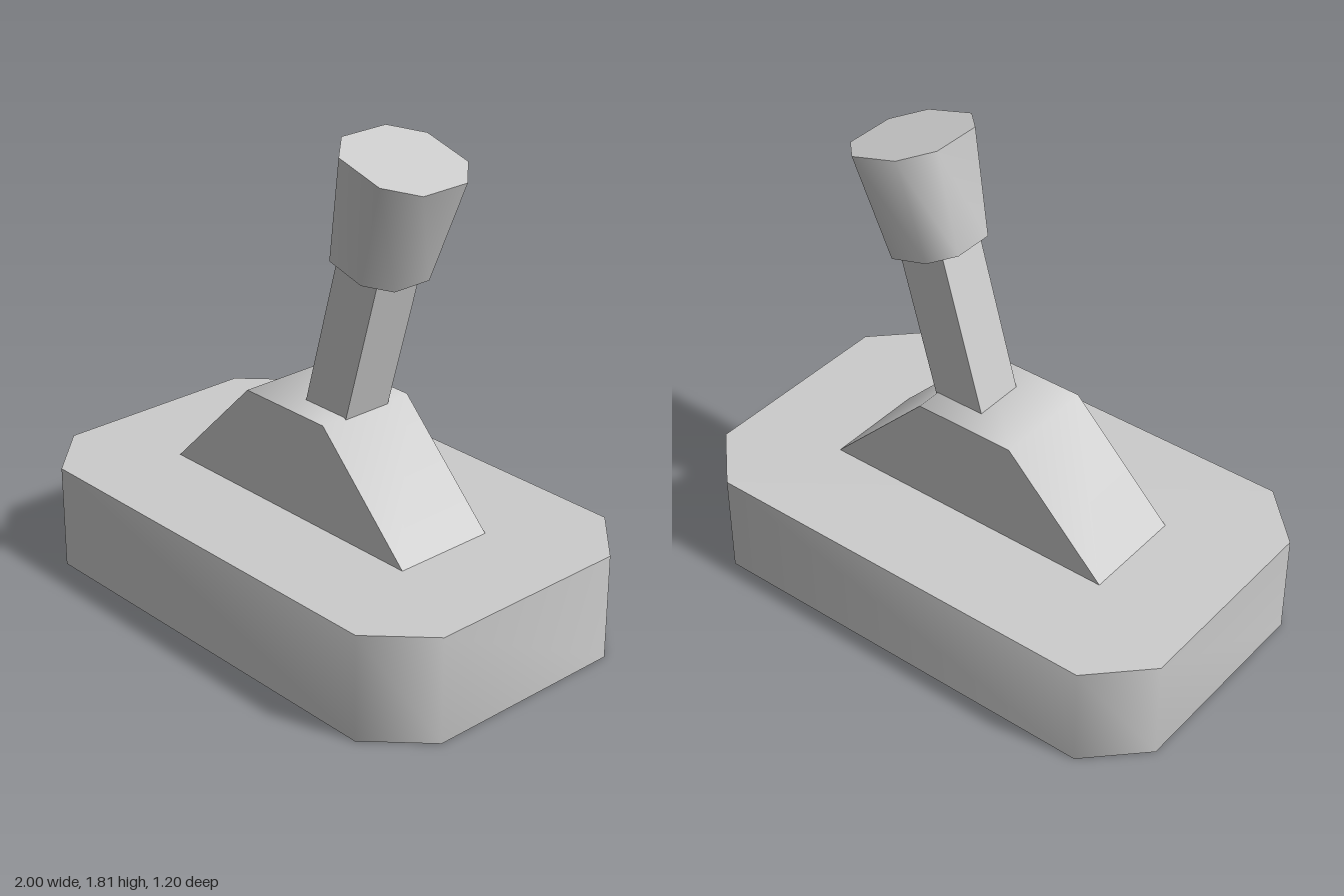
import * as THREE from 'three';
import { toCreasedNormals } from 'three/addons/utils/BufferGeometryUtils.js';

const CREASE = 1.0; // 45 degree corners stay smooth, sharper ones are creased

// Rectangle with cut corners
function cutRectangle(hx, hy, cut) {
  const corners = [
    [hx, -hy + cut], [hx, hy - cut], [hx - cut, hy], [-hx + cut, hy],
    [-hx, hy - cut], [-hx, -hy + cut], [-hx + cut, -hy], [hx - cut, -hy],
  ];
  return new THREE.Shape(corners.map(([x, y]) => new THREE.Vector2(x, y)));
}

function extrude(shape, depth) {
  return new THREE.ExtrudeGeometry(shape, { depth, bevelEnabled: false });
}

export function createModel() {
  const grey = new THREE.MeshStandardMaterial({ color: 0xcccccc });
  grey.name = 'light grey';
  const model = new THREE.Group();
  model.name = 'leverSwitch';

  function add(parent, name, geometry) {
    const mesh = new THREE.Mesh(toCreasedNormals(geometry, CREASE), grey);
    mesh.name = name;
    parent.add(mesh);
    return mesh;
  }

  // Base slab with cut corners
  add(model, 'base', extrude(cutRectangle(1, 0.6, 0.2), 0.4).rotateX(-Math.PI / 2));

  // Sloped housing
  const profile = new THREE.Shape([[-0.6, 0.4], [0.6, 0.4], [0.2, 0.8], [-0.2, 0.8]]
    .map(([x, y]) => new THREE.Vector2(x, y)));
  add(model, 'housing', extrude(profile, 0.4).translate(0, 0, -0.2));

  // Lever leaning to +x, pivoted at the housing top
  const lever = new THREE.Group();
  lever.name = 'lever';
  lever.position.set(0.105, 0.8, 0);
  lever.rotation.z = -THREE.MathUtils.degToRad(15.6);
  model.add(lever);

  // Square stick, sunk slightly into the housing
  add(lever, 'stick', new THREE.BoxGeometry(0.2, 0.68, 0.2).translate(0, 0.28, 0));

  // Eight-sided knob, narrowing towards the stick
  const knob = extrude(cutRectangle(0.2, 0.2, 0.1), 0.4).rotateX(-Math.PI / 2);
  const p = knob.attributes.position;
  for (let i = 0; i < p.count; i++) {
    const s = 0.8 + 0.2 * (p.getY(i) / 0.4);
    p.setXYZ(i, p.getX(i) * s, p.getY(i), p.getZ(i) * s);
  }
  add(lever, 'knob', knob.translate(0.002, 0.59, 0));

  return model;
}
